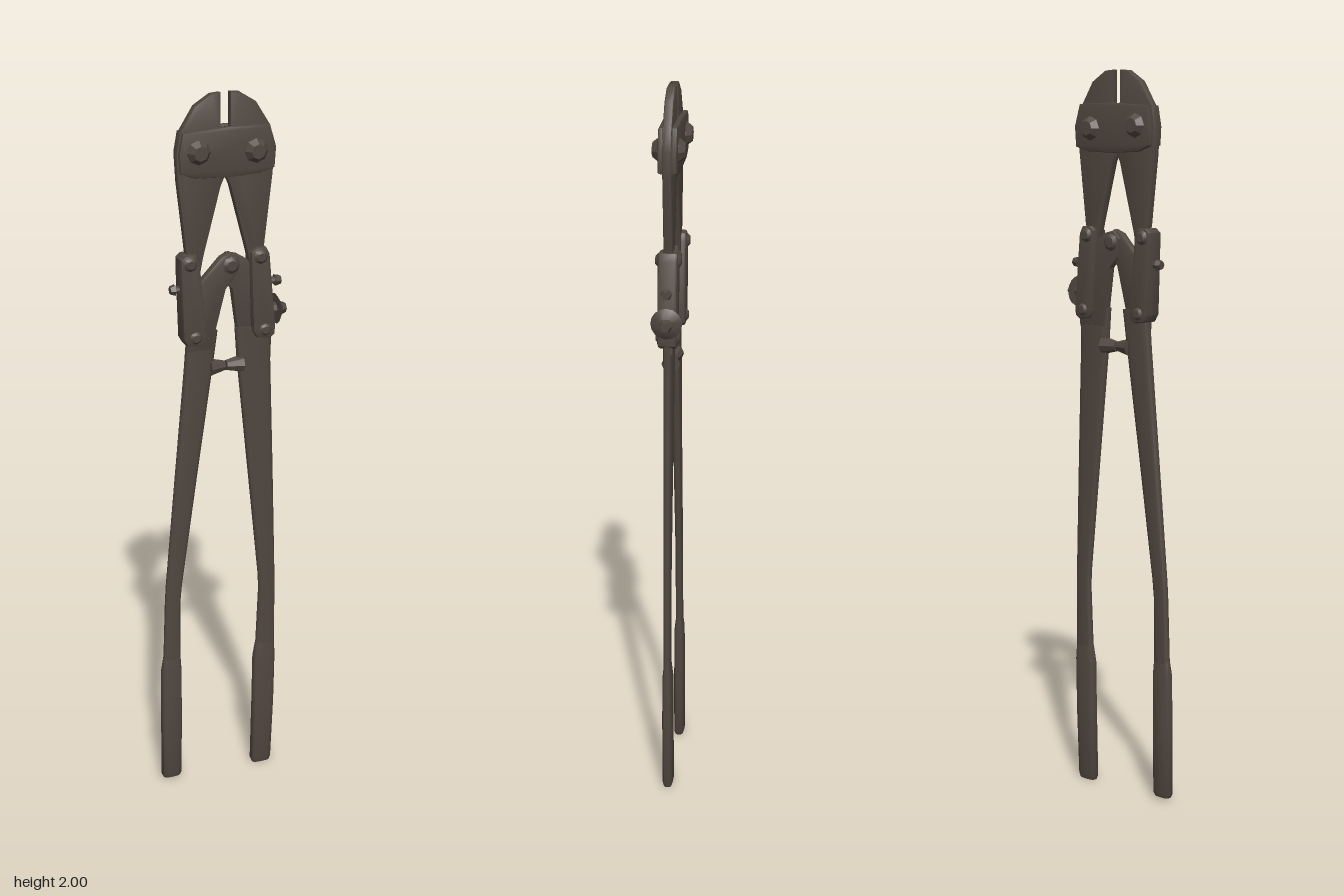
import * as THREE from 'three';
import { toCreasedNormals } from 'three/addons/utils/BufferGeometryUtils.js';

const steel = new THREE.MeshStandardMaterial({ color: 0x50463f });
steel.name = 'dark steel';

export function createModel() {
  const root = new THREE.Group();
  root.name = 'boltCutter';

  const add = (name, geo, x = 0, y = 0, z = 0) => {
    const m = new THREE.Mesh(geo, steel);
    m.name = name;
    m.position.set(x, y, z);
    root.add(m);
    return m;
  };

  // Flat forged part: outline in x/y, between z0 and z1, with bevelled rim
  const plate = (name, pts, z0, z1, bevel = 0.005) => {
    const shape = new THREE.Shape(pts.map(([x, y]) => new THREE.Vector2(x, y)));
    const geo = new THREE.ExtrudeGeometry(shape, {
      depth: z1 - z0 - 2 * bevel, bevelEnabled: true, bevelThickness: bevel,
      bevelSize: bevel, bevelOffset: -bevel, bevelSegments: 2,
    });
    return add(name, toCreasedNormals(geo, 0.6), 0, 0, z0 + bevel);
  };

  // Bar of rounded section; rows run downward: [y, x left, x right, half depth]
  const bar = (name, rows) => {
    const n = 16, pos = [], idx = [];
    const soft = (v) => Math.sign(v) * Math.pow(Math.abs(v), 0.65);
    rows.forEach(([y, a, b, h]) => {
      for (let j = 0; j < n; j++) {
        const t = (j / n) * Math.PI * 2;
        pos.push((a + b) / 2 + ((b - a) / 2) * soft(Math.cos(t)), y, h * soft(Math.sin(t)));
      }
    });
    const last = rows.length - 1;
    for (let i = 0; i < last; i++) {
      for (let j = 0; j < n; j++) {
        const k = (j + 1) % n, a = i * n + j, b = i * n + k;
        idx.push(a, b, a + n, b, b + n, a + n);
      }
    }
    for (let j = 1; j < n - 1; j++) {
      idx.push(0, j + 1, j, last * n, last * n + j, last * n + j + 1);
    }
    const geo = new THREE.BufferGeometry();
    geo.setAttribute('position', new THREE.Float32BufferAttribute(pos, 3));
    geo.setIndex(idx);
    return add(name, toCreasedNormals(geo, 0.9));
  };

  // Domed bolt heads on both faces, joined by a shank
  const bolt = (name, x, y, r, z0, z1, sides = 8) => {
    const profile = [[0, -z1], [r * 0.6, -z1], [r, -z0 - (z1 - z0) * 0.2], [r, -z0], [r * 0.5, -z0],
      [r * 0.5, z0], [r, z0], [r, z0 + (z1 - z0) * 0.2], [r * 0.6, z1], [0, z1]]
      .map(([a, b]) => new THREE.Vector2(a, b));
    const geo = new THREE.LatheGeometry(profile, sides);
    geo.rotateX(Math.PI / 2);
    return add(name, toCreasedNormals(geo, 0.6), x, y, 0);
  };

  // Jaws, mirrored about the cutting line
  const mid = 0.008;
  const jaw = [[-0.013, 1.91], [-0.013, 2], [-0.04, 1.998], [-0.085, 1.97], [-0.126, 1.905],
    [-0.137, 1.85], [-0.134, 1.78], [-0.112, 1.59], [-0.1, 1.53], [-0.07, 1.53],
    [-0.062, 1.57], [-0.013, 1.755], [-0.002, 1.78], [-0.002, 1.91]];
  plate('rightJaw', jaw.map(([x, y]) => [mid + x, y]), -0.012, 0.012);
  plate('leftJaw', jaw.map(([x, y]) => [mid - x, y]).reverse(), -0.012, 0.012);

  // Head plates and their bolts
  const cheek = [[-0.115, 1.905], [-0.125, 1.85], [-0.122, 1.8], [-0.08, 1.784], [0.01, 1.78],
    [0.1, 1.783], [0.142, 1.795], [0.146, 1.85], [0.128, 1.91], [0.01, 1.913]];
  plate('frontHeadPlate', cheek.slice(), 0.01, 0.024);
  plate('backHeadPlate', cheek.slice(), -0.026, -0.01);
  bolt('rightHeadBolt', -0.072, 1.853, 0.033, 0.022, 0.043);
  bolt('leftHeadBolt', 0.088, 1.845, 0.033, 0.022, 0.043);

  // Linkage blocks between jaws and handles, with pins
  const link = [[-0.03, 1.35], [-0.018, 1.33], [0.02, 1.325], [0.034, 1.335], [0.036, 1.36],
    [0.018, 1.56], [0.008, 1.58], [-0.022, 1.582], [-0.036, 1.57], [-0.036, 1.54]];
  [['right', -0.087, 1], ['left', 0.113, 1]].forEach(([side, x]) => {
    plate(side + 'Link', link.map(([a, b]) => [x + a, b]), -0.026, 0.026, 0.008);
    bolt(side + 'LinkTopPin', x - 0.01, 1.557, 0.02, 0.024, 0.034);
    bolt(side + 'LinkLowerPin', x + 0.005, 1.352, 0.018, 0.024, 0.032);
  });

  // Handle heads overlapping at the central pivot
  plate('rightHandleHead', [[-0.1, 1.31], [-0.035, 1.31], [0.008, 1.475], [0.03, 1.5], [0.048, 1.53],
    [0.045, 1.56], [0.02, 1.575], [-0.005, 1.565], [-0.062, 1.505], [-0.09, 1.45]], -0.008, 0.016);
  plate('leftHandleHead', [[0.05, 1.31], [0.14, 1.31], [0.13, 1.45], [0.085, 1.54], [0.045, 1.565],
    [0.015, 1.572], [-0.006, 1.55], [0, 1.5], [0.028, 1.47]], -0.016, 0.008);
  bolt('centrePivot', 0.022, 1.54, 0.024, 0.015, 0.024);

  // Handle bars and grips
  bar('rightHandle', [[1.36, -0.1, -0.012, 0.014], [1.26, -0.108, -0.026, 0.013],
    [0.95, -0.137, -0.072, 0.011], [0.62, -0.167, -0.12, 0.01], [0.57, -0.17, -0.125, 0.01],
    [0.3, -0.18, -0.127, 0.01]]);
  bar('leftHandle', [[1.36, 0.038, 0.146, 0.014], [1.26, 0.045, 0.143, 0.013],
    [0.95, 0.077, 0.153, 0.011], [0.62, 0.111, 0.162, 0.01], [0.57, 0.114, 0.163, 0.01],
    [0.3, 0.102, 0.163, 0.01]]);
  bar('rightGrip', [[0.4, -0.177, -0.126, 0.009], [0.36, -0.183, -0.124, 0.014],
    [0.2, -0.185, -0.124, 0.015], [0.02, -0.186, -0.127, 0.015], [0.01, -0.181, -0.132, 0.012]]);
  bar('leftGrip', [[0.4, 0.106, 0.163, 0.009], [0.35, 0.098, 0.165, 0.014],
    [0.2, 0.096, 0.162, 0.015], [0.012, 0.092, 0.154, 0.015], [0, 0.097, 0.15, 0.012]]);

  // Turned fittings lying along x
  const turned = (name, r0, r1, x0, x1, y, sides = 8) => {
    const geo = new THREE.CylinderGeometry(r1, r0, x1 - x0, sides);
    geo.rotateZ(-Math.PI / 2);
    return add(name, toCreasedNormals(geo, 0.6), (x0 + x1) / 2, y, 0);
  };

  // Stop pegs between the handles
  turned('rightStopPeg', 0.025, 0.014, -0.035, 0.008, 1.256);
  turned('leftStopPeg', 0.014, 0.025, 0.013, 0.06, 1.256);

  // Adjusting screws on the outer sides
  turned('adjusterShank', 0.018, 0.018, 0.12, 0.16, 1.4);
  turned('adjusterWasher', 0.042, 0.02, 0.156, 0.17, 1.4, 16);
  turned('adjusterNut', 0.02, 0.014, 0.168, 0.185, 1.4, 6);
  turned('leftSetScrew', 0.01, 0.01, 0.11, 0.158, 1.48);
  turned('leftSetScrewHead', 0.016, 0.012, 0.153, 0.17, 1.48, 6);
  turned('rightSetScrew', 0.01, 0.01, -0.135, -0.09, 1.485);
  turned('rightSetScrewHead', 0.011, 0.016, -0.146, -0.133, 1.485, 6);

  return root;
}
